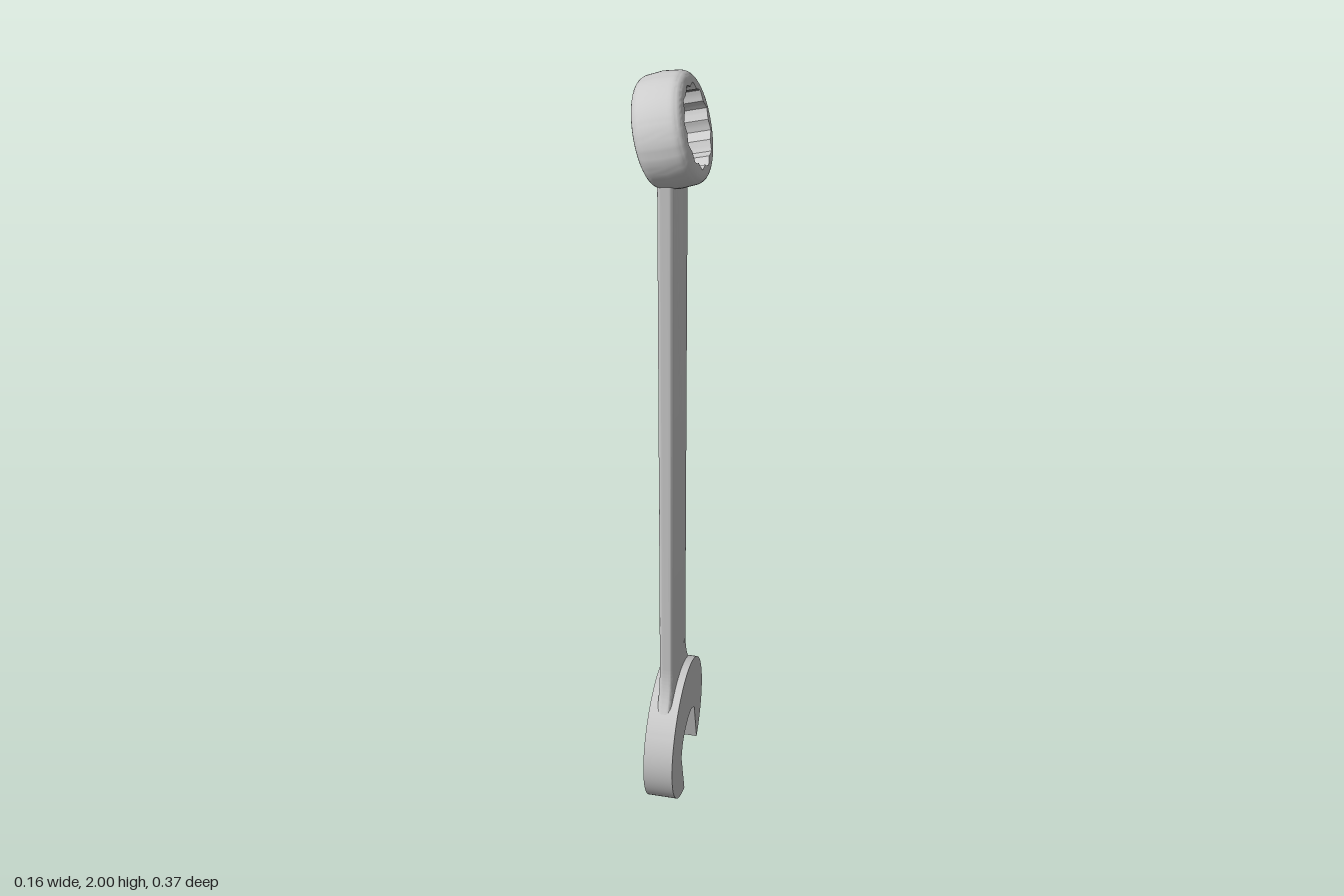
import * as THREE from 'three';
import { toCreasedNormals } from 'three/addons/utils/BufferGeometryUtils.js';

const V = (x, y) => new THREE.Vector2(x, y);

// Extrudes a side-on outline (horizontal axis = -z) to a thickness centred on x = 0
function plate(name, shape, thickness, bevel, material) {
  const geo = new THREE.ExtrudeGeometry(shape, {
    depth: thickness - 2 * bevel, curveSegments: 48, bevelEnabled: bevel > 0,
    bevelThickness: bevel, bevelSize: bevel, bevelOffset: -bevel, bevelSegments: 5,
  });
  geo.translate(0, 0, bevel - thickness / 2);
  geo.rotateY(Math.PI / 2);
  const mesh = new THREE.Mesh(toCreasedNormals(geo, 0.5), material);
  mesh.name = name;
  return mesh;
}

// Open jaw: a disc with a slanted, round-bottomed slot
function jawShape() {
  const s = new THREE.Shape();
  s.absarc(0, 0.186, 0.185, THREE.MathUtils.degToRad(259.5), THREE.MathUtils.degToRad(-43), true);
  s.lineTo(0.12, 0.048);
  s.lineTo(0.087, 0.18);
  s.splineThru([V(0.055, 0.203), V(0.018, 0.209), V(-0.024, 0.199), V(-0.055, 0.176), V(-0.07, 0.14)]);
  s.closePath();
  return s;
}

// Flat shank: flares into the jaw, hollowed at the top to fit the ring
function shankShape() {
  const s = new THREE.Shape();
  s.moveTo(-0.09, 0.25);
  s.lineTo(-0.138, 0.305);
  s.quadraticCurveTo(-0.085, 0.36, -0.085, 0.45);
  s.lineTo(-0.085, 1.797);
  s.quadraticCurveTo(-0.007, 1.733, 0.071, 1.797);
  s.lineTo(0.071, 0.45);
  s.quadraticCurveTo(0.073, 0.37, 0.142, 0.305);
  s.lineTo(0.09, 0.25);
  s.closePath();
  return s;
}

// Ring: closed profile swept around x, with a twelve-pointed bore
function ringGeometry() {
  const N = 96, half = 0.056;
  const bore = (i) => {
    const t = Math.abs((i % 8) - 4) / 4;
    return 0.083 + 0.01 * t;
  };
  // profile entries: [x, radius]; radius null follows the bore
  const profile = [[-half, null], [-half, 0.1]];
  for (let k = 1; k <= 6; k++) {
    const a = (k / 6) * Math.PI / 2;
    profile.push([-half + 0.026 * (1 - Math.cos(a)), 0.1 + 0.022 * Math.sin(a)]);
  }
  profile.push([0, 0.125]);
  for (let k = 7; k >= 0; k--) profile.push([-profile[k][0], profile[k][1]]);
  const M = profile.length, pos = [], index = [];
  for (let j = 0; j < M; j++) {
    for (let i = 0; i < N; i++) {
      const a = (i / N) * Math.PI * 2, r = profile[j][1] ?? bore(i);
      pos.push(profile[j][0], r * Math.cos(a), r * Math.sin(a));
    }
  }
  for (let j = 0; j < M; j++) {
    for (let i = 0; i < N; i++) {
      const n = (i + 1) % N, k = (j + 1) % M;
      const a = j * N + i, b = j * N + n, c = k * N + n, d = k * N + i;
      index.push(a, b, d, b, c, d);
    }
  }
  const geo = new THREE.BufferGeometry();
  geo.setAttribute('position', new THREE.Float32BufferAttribute(pos, 3));
  geo.setIndex(index);
  return toCreasedNormals(geo.toNonIndexed(), 0.45);
}

export function createModel() {
  const material = new THREE.MeshStandardMaterial({ color: 0xcccccc });
  const group = new THREE.Group();
  group.name = 'combinationWrench';

  group.add(plate('openJaw', jawShape(), 0.074, 0, material));
  group.add(plate('shank', shankShape(), 0.036, 0.012, material));

  // Ring end, tipped 15 degrees
  const ring = new THREE.Mesh(ringGeometry(), material);
  ring.name = 'ringEnd';
  ring.position.set(0, 1.875, 0.006);
  ring.rotation.z = Math.PI / 12;
  group.add(ring);

  return group;
}
